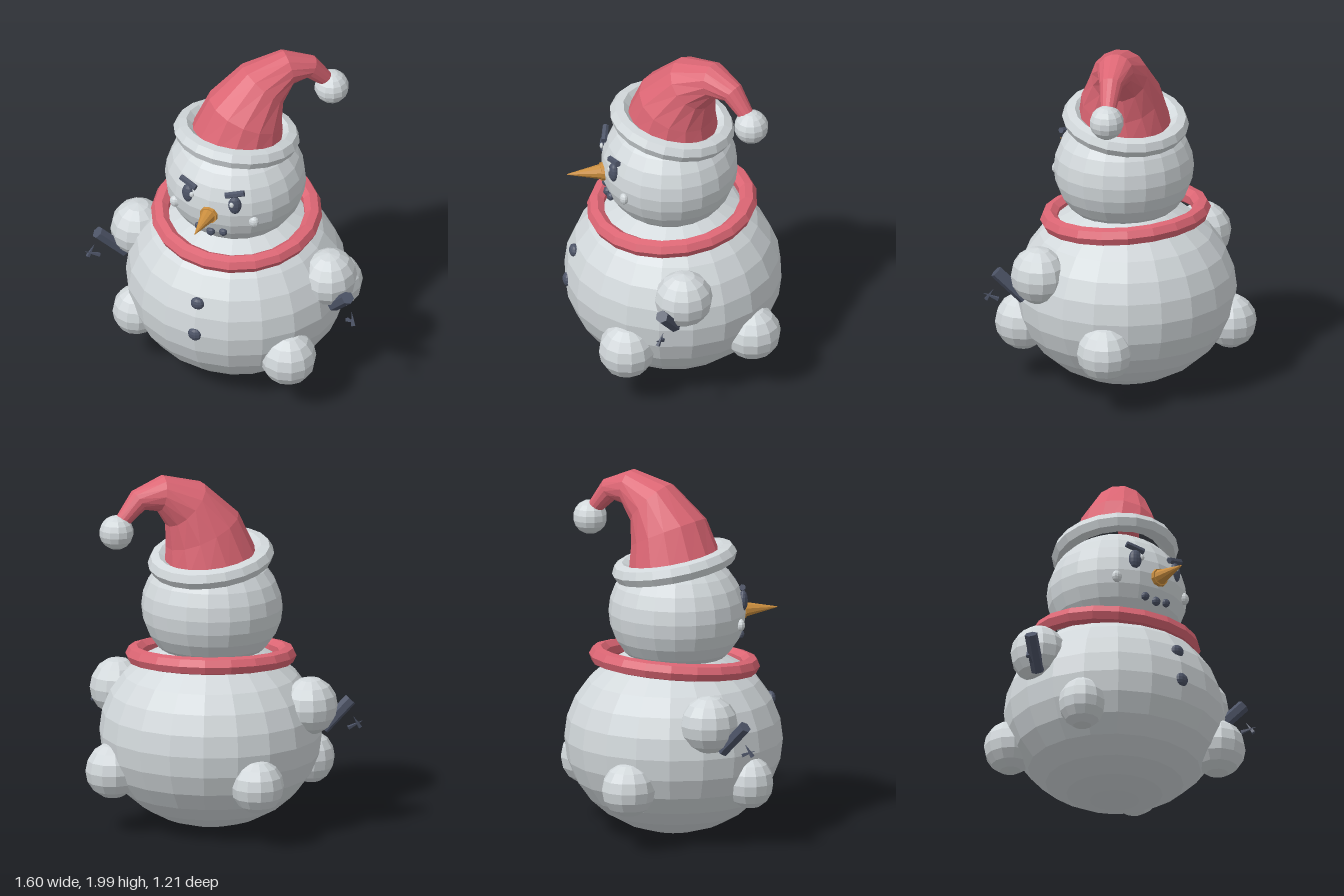
import * as THREE from 'three';

const material = (name, color) => {
  const m = new THREE.MeshStandardMaterial({ color });
  m.name = name;
  m.flatShading = true;
  return m;
};

export function createModel() {
  const root = new THREE.Group();
  root.name = 'snowman';
  const snow = material('snow white', 0xd2d8db);
  const red = material('soft red', 0xdc6674);
  const coal = material('coal blue', 0x4d5467);
  const orange = material('carrot orange', 0xcc8f3f);

  const add = (name, geometry, mat, x = 0, y = 0, z = 0) => {
    const mesh = new THREE.Mesh(geometry, mat);
    mesh.name = name;
    mesh.position.set(x, y, z);
    root.add(mesh);
    return mesh;
  };
  const ball = (name, mat, pos, size, w = 12, h = 8) => {
    const geometry = new THREE.SphereGeometry(1, w, h).scale(...size);
    return add(name, geometry, mat, ...pos);
  };
  // Tapered rod between two points
  const rod = (name, mat, from, to, r0, r1, sides = 6) => {
    const a = new THREE.Vector3(...from), b = new THREE.Vector3(...to);
    const dir = b.clone().sub(a);
    const mesh = add(name, new THREE.CylinderGeometry(r1, r0, dir.length(), sides), mat);
    mesh.position.copy(a).lerp(b, 0.5);
    mesh.quaternion.setFromUnitVectors(new THREE.Vector3(0, 1, 0), dir.normalize());
    return mesh;
  };
  // Flat-lying ring, tilted about x and z
  const ring = (name, mat, radius, tube, y, tiltX, tiltZ) => {
    const geometry = new THREE.TorusGeometry(radius, tube, 7, 20).rotateX(Math.PI / 2);
    add(name, geometry, mat, 0, y, 0).rotation.set(tiltX, 0, tiltZ);
  };

  // Snowballs
  ball('body', snow, [0, 0.53, -0.005], [0.612, 0.522, 0.598], 20, 14);
  ball('head', snow, [0, 1.235, 0.015], [0.39, 0.345, 0.375], 20, 14);
  ball('frontLeftFoot', snow, [0.45, 0.34, 0.335], [0.155, 0.16, 0.155]);
  ball('frontRightFoot', snow, [-0.47, 0.36, 0.3], [0.13, 0.145, 0.13]);
  ball('backLeftFoot', snow, [0.43, 0.355, -0.37], [0.15, 0.155, 0.155]);
  ball('backRightFoot', snow, [-0.43, 0.35, -0.38], [0.145, 0.15, 0.15]);

  // Scarf and hat brim
  ring('scarf', red, 0.42, 0.05, 0.965, 0.085, -0.03);
  ring('hatBrim', snow, 0.295, 0.054, 1.51, -0.19, -0.04);

  // Hat: rings swept along a bent path
  add('hat', hatGeometry(), red);
  ball('hatPompom', snow, [0.41, 1.7, -0.365], [0.095, 0.095, 0.095], 12, 9);

  // Arms, hands, eyes, brows and cheeks on both sides
  for (const s of [1, -1]) {
    const side = s > 0 ? 'left' : 'right';
    ball(side + 'Arm', snow, [s * 0.57, 0.72, 0.04], [0.15, 0.16, 0.16]);
    rod(side + 'HandStick', coal, [s * 0.62, 0.58, 0.1], [s * 0.745, 0.735, 0.195], 0.036, 0.036);
    rod(side + 'UpperClaw', coal, [s * 0.79, 0.575, 0.225], [s * 0.765, 0.64, 0.19], 0.013, 0.001, 4);
    rod(side + 'LowerClaw', coal, [s * 0.735, 0.575, 0.185], [s * 0.8, 0.61, 0.235], 0.013, 0.001, 4);

    ball(side + 'Eye', coal, [s * 0.14, 1.305, 0.352], [0.037, 0.057, 0.025], 12, 8)
      .rotation.y = s * 0.35;
    rod(side + 'Brow', coal, [s * 0.188, 1.39, 0.335], [s * 0.088, 1.362, 0.362], 0.018, 0.018);
    ball(side + 'Cheek', snow, [s * 0.235, 1.19, 0.31], [0.03, 0.034, 0.025], 10, 7);
    ball(side + 'MouthStone', coal, [s * 0.072, 1.102, 0.355], [0.024, 0.024, 0.022], 8, 6);
  }
  ball('rightEyeGlint', snow, [-0.108, 1.318, 0.373], [0.014, 0.017, 0.01], 8, 6);
  ball('leftEyeGlint', snow, [0.13, 1.318, 0.375], [0.014, 0.017, 0.01], 8, 6);

  // Nose, mouth and buttons
  rod('noseBase', orange, [0, 1.222, 0.36], [0, 1.222, 0.4], 0.054, 0.05, 10);
  rod('nose', orange, [0, 1.222, 0.395], [0, 1.226, 0.585], 0.043, 0.002, 10);
  ball('mouthStone', coal, [0, 1.09, 0.36], [0.026, 0.026, 0.023], 8, 6);
  ball('upperButton', coal, [0, 0.72, 0.545], [0.04, 0.037, 0.028], 10, 7);
  ball('lowerButton', coal, [0, 0.535, 0.583], [0.04, 0.04, 0.026], 10, 7);
  return root;
}

function hatGeometry() {
  // centre x, y, z and radius
  const rings = [
    [0, 1.5, 0, 0.26], [0.045, 1.67, -0.02, 0.22], [0.115, 1.825, -0.095, 0.155],
    [0.22, 1.9, -0.195, 0.1], [0.315, 1.87, -0.28, 0.064], [0.385, 1.76, -0.345, 0.042]
  ];
  const sides = 14, centres = rings.map(r => new THREE.Vector3(r[0], r[1], r[2]));
  const normals = centres.map((c, i) => {
    if (i === 0) return new THREE.Vector3(0.04, 1, -0.19).normalize();
    return centres[Math.min(i + 1, rings.length - 1)].clone().sub(centres[i - 1]).normalize();
  });
  // The bend lies in one vertical plane, so one sideways axis fits every ring
  const across = new THREE.Vector3(0.7, 0, 0.72).normalize();
  const points = [], index = [];
  rings.forEach((r, i) => {
    const u = across.clone().addScaledVector(normals[i], -across.dot(normals[i])).normalize();
    const v = normals[i].clone().cross(u);
    for (let j = 0; j < sides; j++) {
      const a = j / sides * Math.PI * 2;
      const p = centres[i].clone().addScaledVector(u, Math.cos(a) * r[3])
        .addScaledVector(v, Math.sin(a) * r[3]);
      points.push(p.x, p.y, p.z);
      if (i === 0) continue;
      const k = (j + 1) % sides, lo = (i - 1) * sides, hi = i * sides;
      index.push(lo + j, lo + k, hi + k, lo + j, hi + k, hi + j);
    }
  });
  const g = new THREE.BufferGeometry();
  g.setAttribute('position', new THREE.Float32BufferAttribute(points, 3));
  g.setIndex(index);
  g.computeVertexNormals();
  return g;
}
